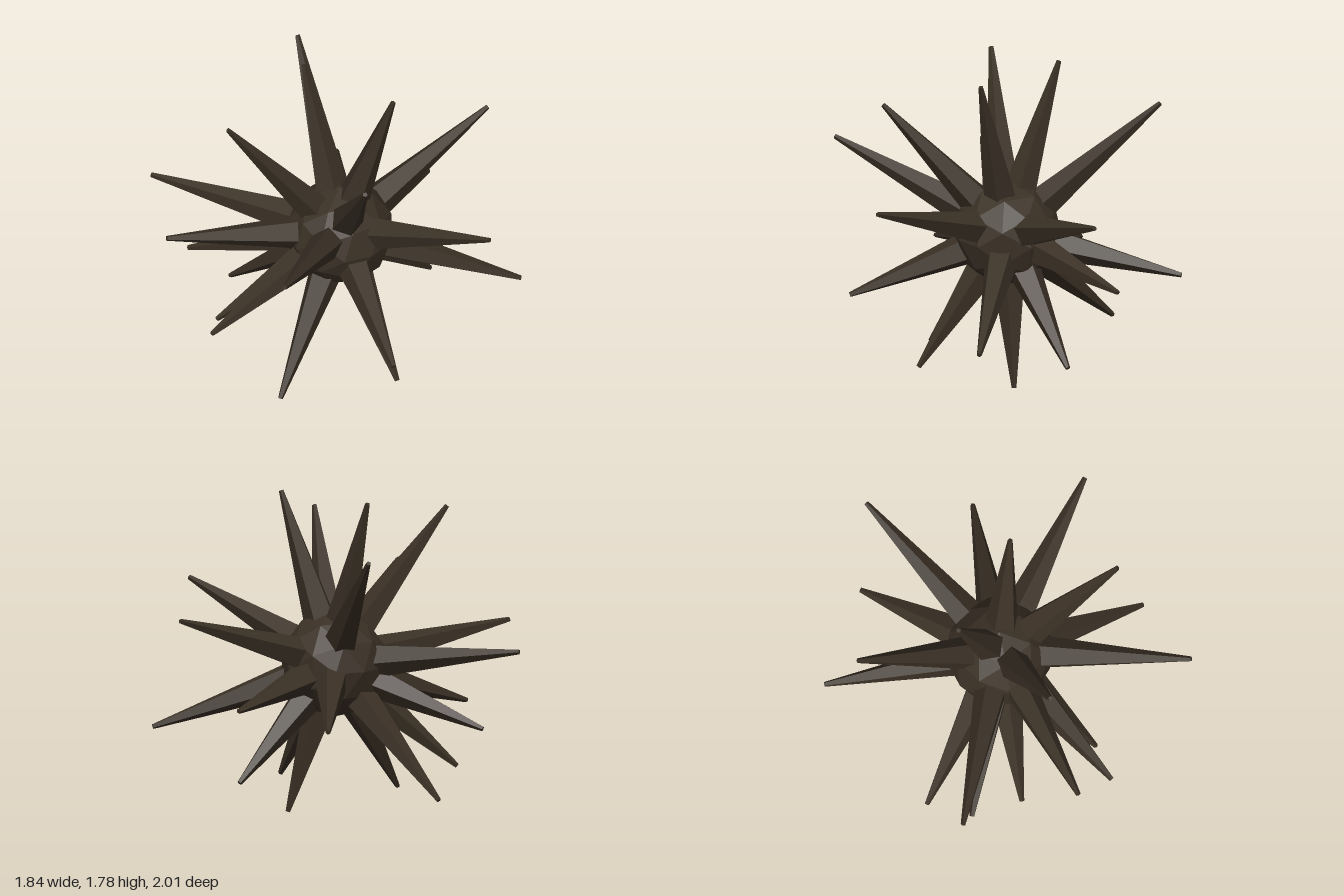
import * as THREE from 'three';

const CENTRE = new THREE.Vector3(-0.04, 0.82, 0.04);
const CORE_RADIUS = 0.3;

// Spike tips, grouped by height
const TIPS = [
  // upper
  [-0.36, 1.77, 0.05], [0.21, 1.77, -0.14], [-0.24, 1.67, 0.66],
  [0.58, 1.57, 0.33], [-0.83, 1.55, -0.26],
  // middle
  [0.60, 1.20, 0.90], [0.91, 1.18, -0.28], [-0.07, 1.18, -1.0],
  [-0.35, 1.01, 1.0], [-0.92, 0.96, 0.68], [-0.32, 0.69, -0.78],
  [-0.83, 0.63, -0.53],
  // lower
  [0.80, 0.50, 0.30], [-0.74, 0.51, 0.56], [-0.03, 0.51, 0.93],
  [0.53, 0.46, -0.78], [-0.41, 0.24, 0.61], [-0.09, 0.23, -0.62],
  [-0.78, 0.15, 0.24], [0.50, 0.11, 0.05], [0.16, 0.03, 0.60],
  [0.04, 0.0, -0.21],
];

export function createModel() {
  const group = new THREE.Group();
  const darkBrown = new THREE.MeshStandardMaterial({ color: 0x3a3025 });
  darkBrown.name = 'darkBrown';
  darkBrown.flatShading = true;

  // Faceted round body
  const core = new THREE.Mesh(new THREE.IcosahedronGeometry(CORE_RADIUS, 1), darkBrown);
  core.name = 'core';
  core.position.copy(CENTRE);
  group.add(core);

  // Tapered five-sided spikes rooted inside the body
  const up = new THREE.Vector3(0, 1, 0);
  const root = 0.2;
  TIPS.forEach((tip, i) => {
    const direction = new THREE.Vector3(...tip).sub(CENTRE);
    const reach = direction.length();
    direction.normalize();
    const geometry = new THREE.CylinderGeometry(0.014, 0.1, reach - root, 5, 1);
    geometry.translate(0, (reach + root) / 2, 0);
    const spike = new THREE.Mesh(geometry, darkBrown);
    spike.name = `spike${i + 1}`;
    spike.position.copy(CENTRE);
    spike.quaternion.setFromUnitVectors(up, direction);
    group.add(spike);
  });

  return group;
}
